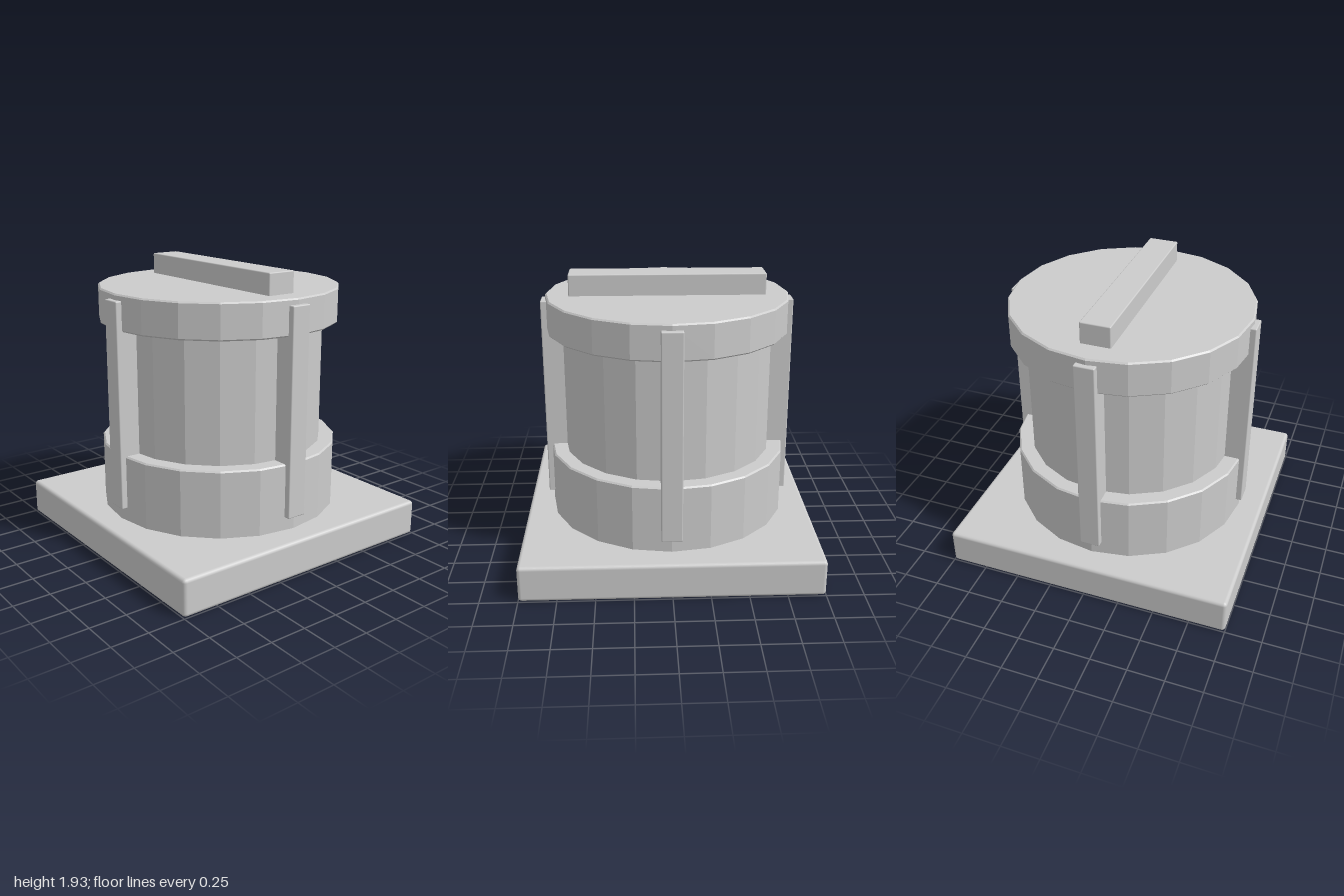
import * as THREE from 'three';
import { RoundedBoxGeometry } from 'three/addons/geometries/RoundedBoxGeometry.js';

const SIDES = 20;

export function createModel() {
  const model = new THREE.Group();
  const smooth = new THREE.MeshStandardMaterial({ color: 0xcccccc });
  const faceted = new THREE.MeshStandardMaterial({ color: 0xcccccc, flatShading: true });

  const add = (name, geometry, material, parent = model) => {
    const mesh = new THREE.Mesh(geometry, material);
    mesh.name = name;
    parent.add(mesh);
    return mesh;
  };

  // Box with softened edges, given by its lowest and highest y
  const block = (name, w, y0, y1, d, radius, parent) => {
    const mesh = add(name, new RoundedBoxGeometry(w, y1 - y0, d, 2, radius), smooth, parent);
    mesh.position.y = (y0 + y1) / 2;
    return mesh;
  };

  // Closed faceted drum with a small chamfer on both rims
  const drum = (name, radius, y0, y1, bevel = 0.01) => {
    const profile = [
      [0, y0], [radius - bevel, y0], [radius, y0 + bevel],
      [radius, y1 - bevel], [radius - bevel, y1], [0, y1],
    ].map(([x, y]) => new THREE.Vector2(x, y));
    return add(name, new THREE.LatheGeometry(profile, SIDES), faceted);
  };

  // Square plinth
  block('base', 2, 0, 0.25, 2, 0.025);

  // Stacked drums
  drum('lowerCollar', 0.83, 0.22, 0.71);
  drum('body', 0.725, 0.65, 1.6);
  drum('lid', 0.83, 1.55, 1.79);

  // Bar across the lid
  block('lidBar', 1.33, 1.76, 1.935, 0.205, 0.008);

  // Four upright straps, one on each side
  for (let i = 0; i < 4; i++) {
    const arm = new THREE.Group();
    arm.name = `strap${i + 1}`;
    arm.rotation.y = (i * Math.PI) / 2;
    block('strapBar', 0.14, 0.34, 1.75, 0.16, 0.008, arm).position.z = 0.78;
    model.add(arm);
  }

  return model;
}
